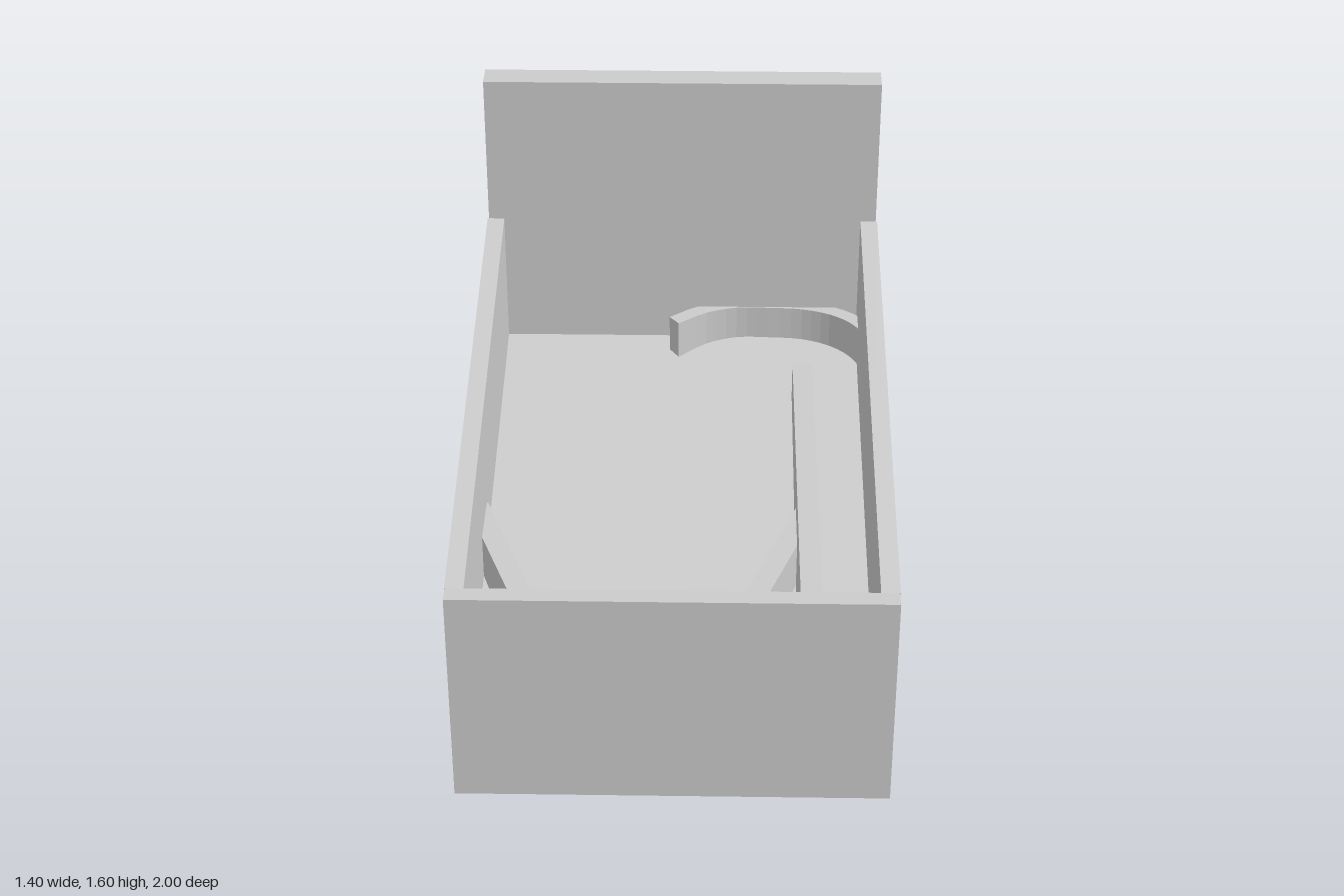
import * as THREE from 'three';

const material = new THREE.MeshStandardMaterial({ color: 0xcccccc, flatShading: true });

export function createModel() {
  const model = new THREE.Group();
  model.name = 'tableCabinet';

  const add = (name, geometry, x = 0, y = 0, z = 0) => {
    const mesh = new THREE.Mesh(geometry, material);
    mesh.name = name;
    mesh.position.set(x, y, z);
    model.add(mesh);
    return mesh;
  };

  // Box given by its limits on each axis
  const block = (name, [x0, x1], [y0, y1], [z0, z1]) =>
    add(name, new THREE.BoxGeometry(x1 - x0, y1 - y0, z1 - z0),
      (x0 + x1) / 2, (y0 + y1) / 2, (z0 + z1) / 2);

  // Side profile of [z, y] points, extruded across x from x0 to x1
  const sidePanel = (name, points, x0, x1) => {
    const shape = new THREE.Shape(points.map(([z, y]) => new THREE.Vector2(-z, y)));
    const geometry = new THREE.ExtrudeGeometry(shape, { depth: x1 - x0, bevelEnabled: false });
    geometry.rotateY(Math.PI / 2);
    return add(name, geometry, x0);
  };

  // Cabinet: tall back board, low front and sloping sides
  block('backBoard', [-0.695, 0.695], [0, 1.6], [-1, -0.9]);
  block('frontPanel', [-0.698, 0.698], [0, 0.775], [0.94, 1]);
  const wall = [[0.94, 0.775], [-0.9, 1.06], [-0.9, 0], [0.94, 0]];
  sidePanel('leftWall', wall, 0.64, 0.7);
  sidePanel('rightWall', wall, -0.7, -0.64);

  // Sloping playfield, solid down to the base
  sidePanel('playfield', [[0.94, 0.3], [-0.9, 0.575], [-0.9, 0], [0.94, 0]], -0.64, 0.64);

  // Lane divider
  block('laneDivider', [0.4, 0.47], [0.05, 0.66], [-0.57, 0.935]);

  // Pair of angled paddles, mirrored about the lane centre
  const laneCentre = -0.115;
  for (const side of [-1, 1]) {
    const paddle = add(side < 0 ? 'rightPaddle' : 'leftPaddle',
      new THREE.BoxGeometry(0.073, 0.495, 0.632), laneCentre + side * 0.4475, 0.2975, 0.4575);
    paddle.rotation.y = -side * 0.347;
  }

  // Curved guide across the back corner: a band of constant thickness
  const inner = new THREE.CatmullRomCurve3([
    [-0.01, -0.778], [0.09, -0.855], [0.2, -0.893], [0.32, -0.894], [0.44, -0.885],
    [0.54, -0.85], [0.61, -0.795], [0.65, -0.73], [0.66, -0.69],
  ].map(([x, z]) => new THREE.Vector3(x, z, 0)));
  const near = [], far = [];
  for (let i = 0; i <= 24; i++) {
    const p = inner.getPoint(i / 24);
    const t = inner.getTangent(i / 24);
    near.push(new THREE.Vector2(p.x, -p.y));
    far.unshift(new THREE.Vector2(Math.min(p.x + t.y * 0.055, 0.7), -(p.y - t.x * 0.055)));
  }
  const guide = new THREE.ExtrudeGeometry(new THREE.Shape([...near, ...far]),
    { depth: 0.6, bevelEnabled: false });
  guide.rotateX(-Math.PI / 2);
  add('curvedGuide', guide, 0, 0.1, 0);

  return model;
}
